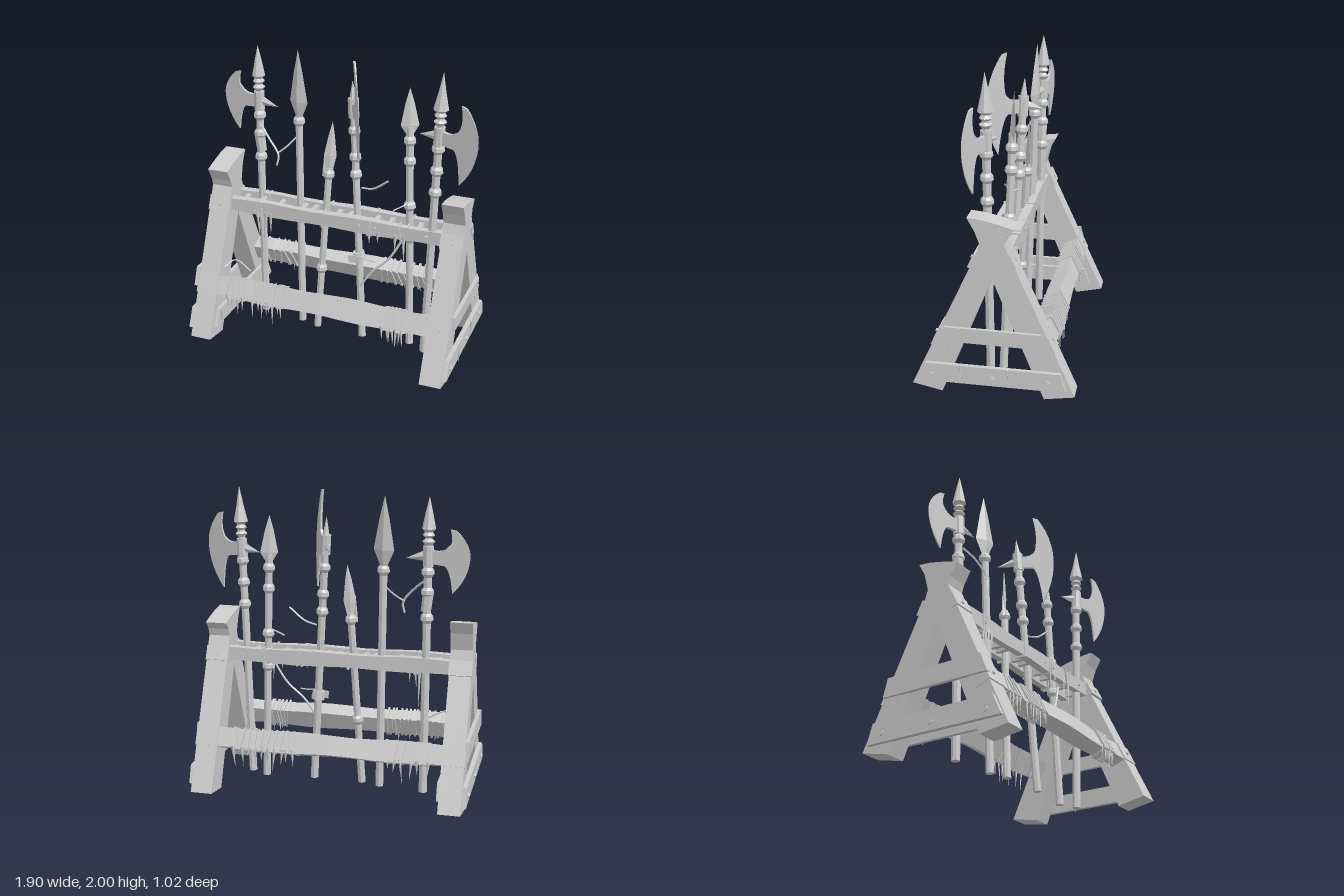
import * as THREE from 'three';

export function createModel() {
  const root = new THREE.Group();
  root.name = 'weaponRack';
  const mat = new THREE.MeshStandardMaterial({ color: 0xcccccc, flatShading: true, side: THREE.DoubleSide });
  mat.name = 'paleGrey';
  let seed = 7;
  const rnd = (a, b) => { seed = (seed * 16807) % 2147483647; return a + (b - a) * seed / 2147483647; };
  const add = (parent, name, geo, x = 0, y = 0, z = 0, rx = 0, ry = 0, rz = 0) => {
    const m = new THREE.Mesh(geo, mat);
    m.name = name;
    m.position.set(x, y, z);
    m.rotation.set(rx, ry, rz);
    parent.add(m);
    return m;
  };
  const outline = pts => new THREE.Shape(pts.map(p => new THREE.Vector2(p[0], p[1])));
  const extrude = (pts, depth) => new THREE.ExtrudeGeometry(outline(pts), { depth, bevelEnabled: false });
  const lean = 0.435; // slope of the legs

  // Hand-hewn beam: a box whose edges waver along x
  const beamGeo = (len, h, d, wob = 0.006) => {
    const g = new THREE.BoxGeometry(len, h, d, 10, 1, 1), p = g.attributes.position;
    for (let i = 0; i < p.count; i++) {
      const x = p.getX(i), y = p.getY(i), z = p.getZ(i);
      p.setY(i, y + wob * Math.sin(x * 9 + (y > 0 ? 0 : 2)));
      p.setZ(i, z + wob * 0.7 * Math.sin(x * 7 + (z > 0 ? 1 : 4)));
    }
    g.computeVertexNormals();
    return g;
  };

  // End frames: A-shaped legs with a flared crown, drawn side on
  const frame = (name, x, flip, rise) => {
    const pts = [[-0.51, 0.04], [-0.32, 0], [0, 0.78], [0.32, 0], [0.51, 0.03], [0.11, 0.92], [0.075, 1.0],
      [0.09, 1.05], [0.135, 1.1 + rise], [0.05, 1.125 + rise], [-0.06, 1.15 + rise], [-0.15, 1.16 + rise],
      [-0.105, 1.08 + rise], [-0.075, 1.0], [-0.1, 0.92]];
    add(root, name, extrude(pts.map(([a, b]) => [a * flip, b]), 0.145), x, 0, 0, 0, Math.PI / 2);
  };
  frame('rightFrame', -0.92, -1, 0.035);
  frame('leftFrame', 0.725, 1, 0);

  // Boards nailed across the end frames
  const board = (name, x, w0, w1, y0, y1, d = 0.025) =>
    add(root, name, extrude([[-w0, y0], [w0 - 0.02, y0 - 0.01], [w1, y1 - 0.01], [-w1, y1]], d), x, 0, 0, 0, Math.PI / 2);
  board('leftLowerBoard', 0.868, 0.48, 0.42, 0.08, 0.2, 0.03);
  board('leftUpperBoard', 0.868, 0.315, 0.3, 0.355, 0.45);
  board('rightLowerBoard', -0.948, 0.48, 0.42, 0.08, 0.21, 0.03);
  board('rightUpperBoard', -0.943, 0.38, 0.33, 0.36, 0.48);
  board('rightInnerBoard', -0.777, 0.44, 0.38, 0.1, 0.21);
  for (const [x, s] of [[0.9, -1], [-0.95, 1]])
    for (const z of [-0.35, 0, 0.38])
      add(root, 'boardNail', new THREE.CylinderGeometry(0.015, 0.018, 0.014, 6), x, 0.125, z, 0, 0, s * Math.PI / 2);

  // Torn hanging strip
  const tatter = (x, y, z, len, w = 0.012) =>
    add(root, 'tatter', new THREE.ConeGeometry(w, len, 4).scale(1, 1, 0.5), x, y - len / 2, z, Math.PI, 0, rnd(-0.12, 0.12));

  for (const s of [1, -1]) {
    const side = s > 0 ? 'front' : 'back';
    // Low rail leaning with the legs
    const rail = new THREE.Group();
    rail.name = side + 'LowRail';
    rail.position.set(-0.025, 0.355, 0.305 * s);
    rail.rotation.x = -lean * s;
    root.add(rail);
    add(rail, side + 'LowBeam', beamGeo(1.55, 0.135, 0.1), 0, 0, 0);
    for (const x of [-0.825, 0.825]) {
      add(rail, 'lowBeamEnd', new THREE.BoxGeometry(0.15, 0.135, 0.11), x, 0, 0.005 * s);
      add(rail, 'railNail', new THREE.CylinderGeometry(0.011, 0.013, 0.012, 6), x, 0, 0.065 * s, Math.PI / 2);
    }
    // Bindings and tatters over the low rail
    const spans = s > 0 ? [[-0.7, -0.58, 4], [-0.5, -0.3, 8], [0.43, 0.56, 7]] : [[-0.68, -0.42, 6], [0.2, 0.6, 10]];
    for (const [a, b, n] of spans)
      for (let i = 0; i < n; i++) {
        const x = a + (b - a) * i / (n - 1);
        add(rail, 'binding', new THREE.BoxGeometry(0.014, 0.15, 0.12), x + 0.025, 0, 0, 0, 0, rnd(-0.2, 0.2));
        tatter(x + rnd(-0.01, 0.01), 0.33, 0.375 * s, rnd(0.07, 0.17));
      }
    // High rail with end plates
    add(root, side + 'HighRail', beamGeo(1.53, 0.095, 0.05, 0.005), -0.025, 0.882, 0.075 * s);
    for (const x of [-0.848, 0.798]) {
      add(root, 'highRailPlate', new THREE.BoxGeometry(0.152, 0.1, 0.04), x, 0.885, 0.112 * s, -lean * s);
      add(root, 'railNail', new THREE.CylinderGeometry(0.011, 0.013, 0.012, 6), x, 0.89, 0.135 * s, (Math.PI / 2) - lean * s);
    }
    for (const x of [-0.55, 0.16, 0.27, 0.62])
      add(root, 'railNail', new THREE.CylinderGeometry(0.01, 0.012, 0.012, 6), x, 0.885, 0.104 * s, Math.PI / 2);
    // Bindings on the high rail
    for (const x of [-0.58, -0.55, -0.1, 0.22, 0.24, 0.44, 0.48])
      add(root, 'binding', new THREE.BoxGeometry(0.012, 0.11, 0.065), x, 0.88, 0.075 * s, 0, 0, rnd(-0.25, 0.25));
  }
  for (const [x, l] of [[-0.57, 0.2], [-0.545, 0.34], [-0.52, 0.2], [-0.48, 0.16], [0.23, 0.1], [0.29, 0.08], [0.41, 0.12], [0.47, 0.2]])
    tatter(x, 0.86, 0.1, l, 0.014);
  for (const [x, z] of [[-0.89, 0.4], [-0.74, 0.38], [0.9, 0.2], [0.89, 0.1], [0.9, -0.1]]) tatter(x, 0.2, z, 0.14);

  // Dividers that hold the shafts apart
  for (const x of [-0.7, -0.58, -0.44, -0.27, -0.2, -0.02, 0.06, 0.25, 0.35, 0.55, 0.71])
    add(root, 'divider', new THREE.BoxGeometry(0.03, 0.06, 0.13), x, 0.88, 0, 0, rnd(-0.1, 0.1));

  // Shaft with collars, as a turned profile up to its own height; returns a group along the pole
  const pole = (name, base, top, shaftH, collars, r = 0.027) => {
    const g = new THREE.Group();
    g.name = name;
    const b = new THREE.Vector3(...base), d = new THREE.Vector3(...top).sub(b);
    g.position.copy(b);
    g.quaternion.setFromUnitVectors(new THREE.Vector3(0, 1, 0), d.normalize());
    const pts = [[0, 0], [r, 0]];
    for (const y of collars) pts.push([r * 0.95, y - 0.035], [r * 1.55, y - 0.012], [r * 1.45, y + 0.012], [r * 0.95, y + 0.03]);
    pts.push([r * 0.9, shaftH], [0, shaftH]);
    add(g, name + 'Shaft', new THREE.LatheGeometry(pts.map(p => new THREE.Vector2(...p)), 8));
    root.add(g);
    return g;
  };

  // Flattened diamond blade: rings of four corners
  const spearHead = (g, y0, yWide, y1, half, turn, r = 0.026) => {
    const pts = [[r, y0], [r * 0.9, y0 + 0.02], [half, yWide], [half * 0.5, (yWide + y1) / 2 + 0.02], [0, y1]];
    add(g, 'spearHead', new THREE.LatheGeometry(pts.map(p => new THREE.Vector2(...p)), 4).scale(1, 1, 0.32), 0, 0, 0, 0, turn)
      .geometry.computeVertexNormals();
  };

  // Axe head: thin crescent blade, socket and a rear spike; blade points to local +x
  const axeHead = (g, y, reach, up, down, turn) => {
    const h = new THREE.Group();
    h.name = 'axeHead';
    h.position.y = y;
    h.rotation.y = turn;
    g.add(h);
    const s = new THREE.Shape();
    s.moveTo(0.01, 0.045);
    s.quadraticCurveTo(reach * 0.35, 0.02, reach * 0.5, 0.075);
    s.quadraticCurveTo(reach * 0.62, up * 0.55, reach * 0.52, up);
    s.lineTo(reach * 0.66, up * 0.96);
    s.quadraticCurveTo(reach * 1.02, up * 0.5, reach, 0);
    s.quadraticCurveTo(reach * 0.97, down * 0.55, reach * 0.6, down);
    s.quadraticCurveTo(reach * 0.55, -0.08, reach * 0.4, -0.055);
    s.lineTo(0.01, -0.045);
    // thins towards the cutting edge
    const geo = new THREE.ExtrudeGeometry(s, { depth: 0.03, bevelEnabled: false, curveSegments: 6 }).translate(0, 0, -0.015);
    const p = geo.attributes.position;
    for (let i = 0; i < p.count; i++) p.setZ(i, p.getZ(i) * Math.max(0.1, 1 - 0.95 * p.getX(i) / reach));
    geo.computeVertexNormals();
    add(h, 'axeBlade', geo);
    add(h, 'axeSocket', new THREE.CylinderGeometry(0.036, 0.036, 0.13, 8));
    add(h, 'rearSpike', new THREE.ConeGeometry(0.035, 0.13, 4).scale(1, 1, 0.6), -0.085, -0.01, 0, 0, 0, Math.PI / 2 + 0.18);
  };
  const topSpike = (g, y0, y1, r) => {
    const pts = [[0.02, y0], [0.042, y0 + 0.03], [0.02, y0 + 0.05], [0.04, y0 + 0.07], [0.025, y0 + 0.09], [r, y0 + 0.11], [r * 0.5, y0 + 0.22], [0, y1]];
    add(g, 'topSpike', new THREE.LatheGeometry(pts.map(p => new THREE.Vector2(...p)), 8));
  };

  const halberdA = pole('rightHalberd', [-0.61, 0, -0.06], [-0.62, 1.98, -0.08], 1.7, [1.2, 1.37, 1.5], 0.028);
  axeHead(halberdA, 1.6, 0.275, 0.18, -0.23, Math.PI - 0.16);
  topSpike(halberdA, 1.665, 1.98, 0.045);

  const spearA = pole('tallSpear', [-0.305, 0, -0.02], [-0.335, 1.98, -0.08], 1.52, [1.5]);
  spearHead(spearA, 1.5, 1.63, 1.98, 0.075, -0.3);

  const spearB = pole('shortSpear', [-0.175, 0, 0.02], [-0.09, 1.52, -0.07], 1.2, [0.46, 1.16], 0.026);
  spearHead(spearB, 1.16, 1.29, 1.53, 0.042, 0.4);
  add(spearB, 'splinter', new THREE.ConeGeometry(0.014, 0.18, 4), -0.035, 1.23, 0.01, 0, 0, 0.05);

  const axe = pole('centreAxe', [0.165, 0, 0.03], [0.05, 1.82, -0.06], 1.7, [1.2, 1.32, 1.5]);
  axeHead(axe, 1.65, 0.25, 0.34, -0.32, -1.08);
  add(axe, 'axeTip', new THREE.ConeGeometry(0.03, 0.15, 6), 0, 1.76, 0);
  // Cloth knot on the centre shaft
  add(axe, 'clothWrap', new THREE.CylinderGeometry(0.042, 0.046, 0.06, 8), 0, 0.61, 0, 0.1, 0, 0.1);
  add(axe, 'clothFlap', new THREE.BoxGeometry(0.08, 0.05, 0.012), -0.02, 0.6, 0.045);

  const spearC = pole('leftSpear', [0.5, 0, 0.0], [0.435, 1.83, -0.06], 1.57, [0.8, 1.03, 1.34, 1.48]);
  spearHead(spearC, 1.5, 1.58, 1.83, 0.06, 0.45);

  const halberdB = pole('leftHalberd', [0.62, 0, 0.06], [0.685, 2, 0.07], 1.72, [1.2, 1.35, 1.5], 0.028);
  axeHead(halberdB, 1.58, 0.285, 0.24, -0.28, -0.32);
  topSpike(halberdB, 1.65, 2, 0.05);

  // Loose cords and rags caught on the shafts
  const cord = (name, pts, r) => add(root, name,
    new THREE.TubeGeometry(new THREE.CatmullRomCurve3(pts.map(p => new THREE.Vector3(...p))), 12, r, 4));
  cord('longCord', [[0.17, 0.43, 0.1], [0.25, 0.55, 0.08], [0.36, 0.66, 0.06], [0.45, 0.82, 0.03]], 0.008);
  cord('shortCord', [[0.15, 0.63, 0.05], [0.21, 0.62, 0.06], [0.27, 0.62, 0.07]], 0.005);
  cord('highCord', [[0.13, 1.1, -0.03], [0.22, 1.12, 0.0], [0.33, 1.2, 0.02]], 0.007);
  cord('sideCord', [[0.47, 1.06, -0.04], [0.44, 1.04, 0.0], [0.37, 1.0, 0.03]], 0.006);
  cord('halberdCord', [[-0.6, 1.44, -0.05], [-0.52, 1.37, 0.0], [-0.44, 1.27, 0.03], [-0.45, 1.2, 0.04]], 0.008);
  cord('spearCord', [[-0.45, 1.28, 0.02], [-0.39, 1.33, -0.02], [-0.33, 1.4, -0.07]], 0.006);
  cord('railCord', [[-0.77, 0.47, 0.25], [-0.72, 0.5, 0.18], [-0.6, 0.44, 0.19]], 0.005);
  add(root, 'halberdRag', new THREE.CylinderGeometry(0.036, 0.034, 0.14, 7), -0.617, 1.31, -0.073, 0, 0, 0.12);
  return root;
}
